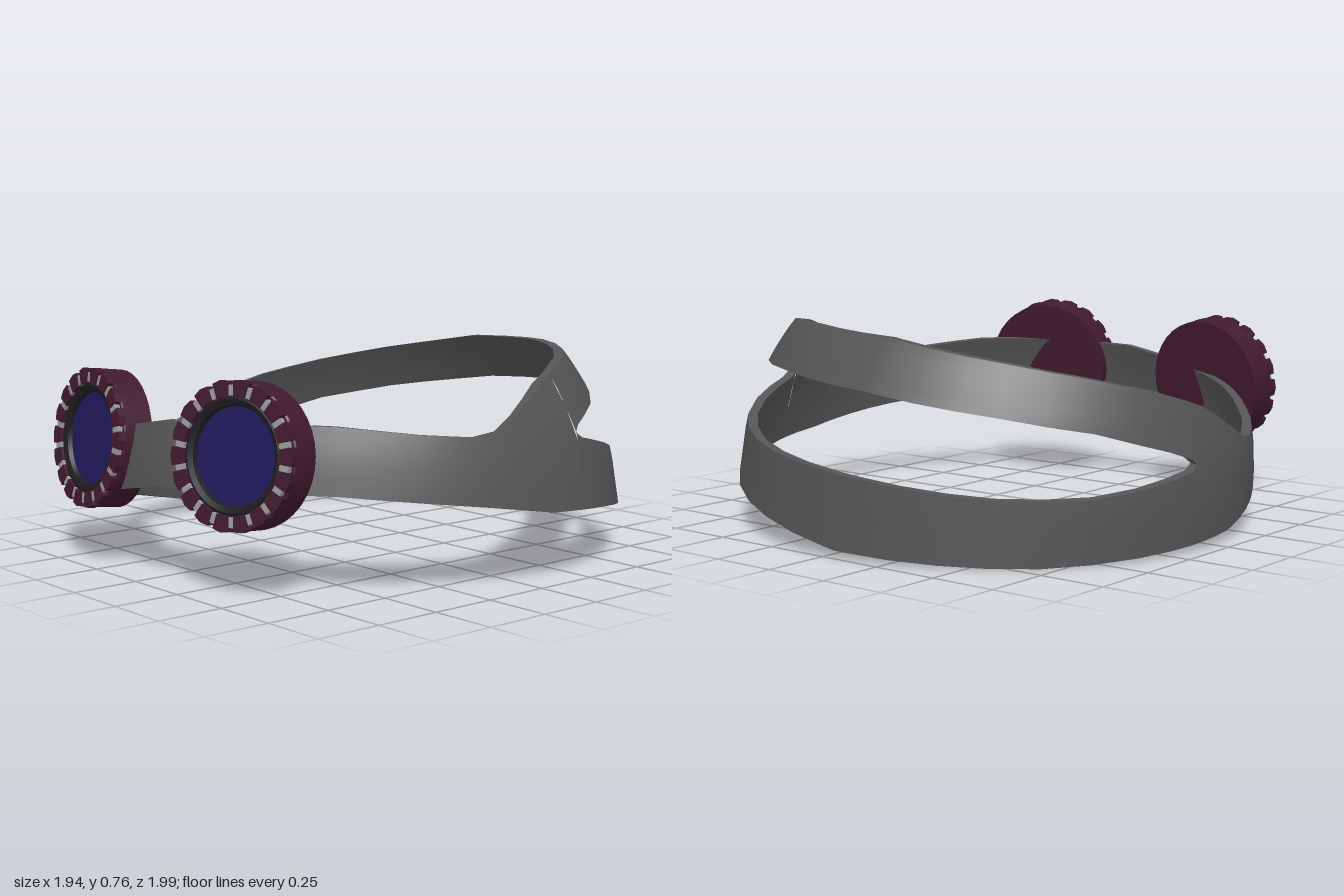
import * as THREE from 'three';
import { toCreasedNormals } from 'three/addons/utils/BufferGeometryUtils.js';

const mat = (color) => new THREE.MeshStandardMaterial({ color });
const strapMat = mat(0x555555), rimMat = mat(0x421a2e), darkMat = mat(0x1e1c20);
const lensMat = mat(0x211a5c), slotMat = mat(0x999999);

// Piecewise linear lookup in [key, value] pairs
function lerpTable(table, k) {
  for (let i = 1; i < table.length; i++) {
    const [a, va] = table[i - 1], [b, vb] = table[i];
    if (k <= b) return va + (vb - va) * Math.max(0, (k - a) / (b - a));
  }
  return table[table.length - 1][1];
}

// Strap edge heights by angle from the front (degrees), the same on both sides
const TOP = [[0, .575], [40, .53], [60, .475], [72, .45], [79, .462], [86, .525], [97, .61], [111, .665], [130, .71], [150, .74], [180, .765]];
const BOTTOM = [[0, .35], [40, .30], [70, .22], [90, .16], [115, .13], [140, .09], [180, .05]];
const SLIT_UPPER = [[102, .42], [104, .442], [110, .472], [127, .537], [150, .573], [180, .59]];
const SLIT_LOWER = [[102, .42], [104, .398], [116, .36], [130, .325], [150, .308], [180, .31]];
// Radius by angle, and how the head shape narrows with height
const RADIUS = [[0, .975], [30, .965], [55, .955], [90, .98], [120, 1], [180, 1]];
const NARROW = [[.05, 0], [.3, .018], [.42, .04], [.5, .07], [.59, .11], [.68, .16], [.765, .22]];
const PIVOT = .35, THICK = .035, ROWS = 4;

// Curved band with thickness, between two edge heights
function band(name, angles, low, high) {
  const pos = [], index = [], loop = 2 * (ROWS + 1);
  angles.forEach((deg, i) => {
    const k = Math.abs(deg > 180 ? 360 - deg : deg), a = THREE.MathUtils.degToRad(deg);
    const y0 = lerpTable(low, k), y1 = lerpTable(high, k);
    const lean = k < 60 ? .7 : Math.min(1, .7 + (k - 60) / 100);
    for (let j = 0; j < loop; j++) {
      const inner = j > ROWS, t = (inner ? loop - 1 - j : j) / ROWS;
      const y = y0 + (y1 - y0) * t;
      const r = lerpTable(RADIUS, k) * (1 - lean * lerpTable(NARROW, y)) - (inner ? THICK : 0);
      pos.push(r * Math.sin(a), y - PIVOT, r * Math.cos(a));
      if (i < angles.length - 1) {
        const n = (j + 1) % loop, p = i * loop, q = p + loop;
        index.push(p + j, q + j, q + n, p + j, q + n, p + n);
      }
    }
  });
  const g = new THREE.BufferGeometry();
  g.setAttribute('position', new THREE.Float32BufferAttribute(pos, 3));
  g.setIndex(index);
  const mesh = new THREE.Mesh(toCreasedNormals(g, .7), strapMat);
  mesh.name = name;
  return mesh;
}

function createStrap() {
  const strap = new THREE.Group();
  strap.name = 'strap';
  const front = [], half = [102, 104, 110];
  for (let i = 0; i <= 34; i++) front.push(-102 + i * 6);
  for (let d = 118; d < 180; d += 10) half.push(d);
  const back = [...half, 180, ...half.map((d) => 360 - d).reverse()];
  strap.add(
    band('frontStrap', front, BOTTOM, TOP),
    band('upperBackStrap', back, SLIT_UPPER, TOP),
    band('lowerBackStrap', back, BOTTOM, SLIT_LOWER),
  );
  strap.rotation.set(0, THREE.MathUtils.degToRad(5), .11, 'ZYX');
  strap.position.y = PIVOT;
  return strap;
}

// Turned part whose axis points to +z
function turned(name, points, material, sides = 36) {
  const g = new THREE.LatheGeometry(points.map((p) => new THREE.Vector2(...p)), sides);
  g.rotateX(Math.PI / 2);
  const mesh = new THREE.Mesh(toCreasedNormals(g, .6), material);
  mesh.name = name;
  return mesh;
}

function createEyepiece(name) {
  const eye = new THREE.Group();
  eye.name = name;
  eye.add(
    turned('housing', [[0, -.065], [.253, -.065], [.253, .04], [.247, .046], [.19, .046], [.19, .01]], rimMat),
    turned('innerRing', [[.2, .03], [.2, .056], [.19, .06], [.172, .052], [.165, .03]], darkMat),
  );
  const lens = new THREE.Mesh(new THREE.CircleGeometry(.172, 36), lensMat);
  lens.name = 'lens';
  lens.position.z = .036;
  eye.add(lens);

  // Grip blocks around the rim, with pale slots between them
  const COUNT = 18;
  const block = new THREE.Shape();
  [[.198, -.024], [.25, -.032], [.257, 0], [.25, .032], [.198, .024]].forEach(([x, y], i) =>
    i ? block.lineTo(x, y) : block.moveTo(x, y));
  const blockGeo = new THREE.ExtrudeGeometry(block, { depth: .028, bevelEnabled: false });
  const slotGeo = new THREE.BoxGeometry(.036, .019, .02);
  for (let i = 0; i < COUNT; i++) {
    const a = (i / COUNT) * Math.PI * 2, b = a + Math.PI / COUNT;
    const grip = new THREE.Mesh(blockGeo, rimMat);
    grip.name = 'gripBlock';
    grip.rotation.z = a;
    grip.position.z = .04;
    const slot = new THREE.Mesh(slotGeo, slotMat);
    slot.name = 'gripSlot';
    slot.rotation.z = b;
    slot.position.set(.22 * Math.cos(b), .22 * Math.sin(b), .056);
    eye.add(grip, slot);
  }
  return eye;
}

export function createModel() {
  const model = new THREE.Group();
  model.name = 'goggles';
  model.add(createStrap());
  // Eyepieces: name, position, yaw in degrees
  [['leftEyepiece', [.415, .495, .84], 15], ['rightEyepiece', [-.37, .467, .885], -5.5]].forEach(([name, p, yaw]) => {
    const eye = createEyepiece(name);
    eye.position.set(...p);
    eye.rotation.set(-.12, THREE.MathUtils.degToRad(yaw), .08, 'YXZ');
    model.add(eye);
  });
  return model;
}
